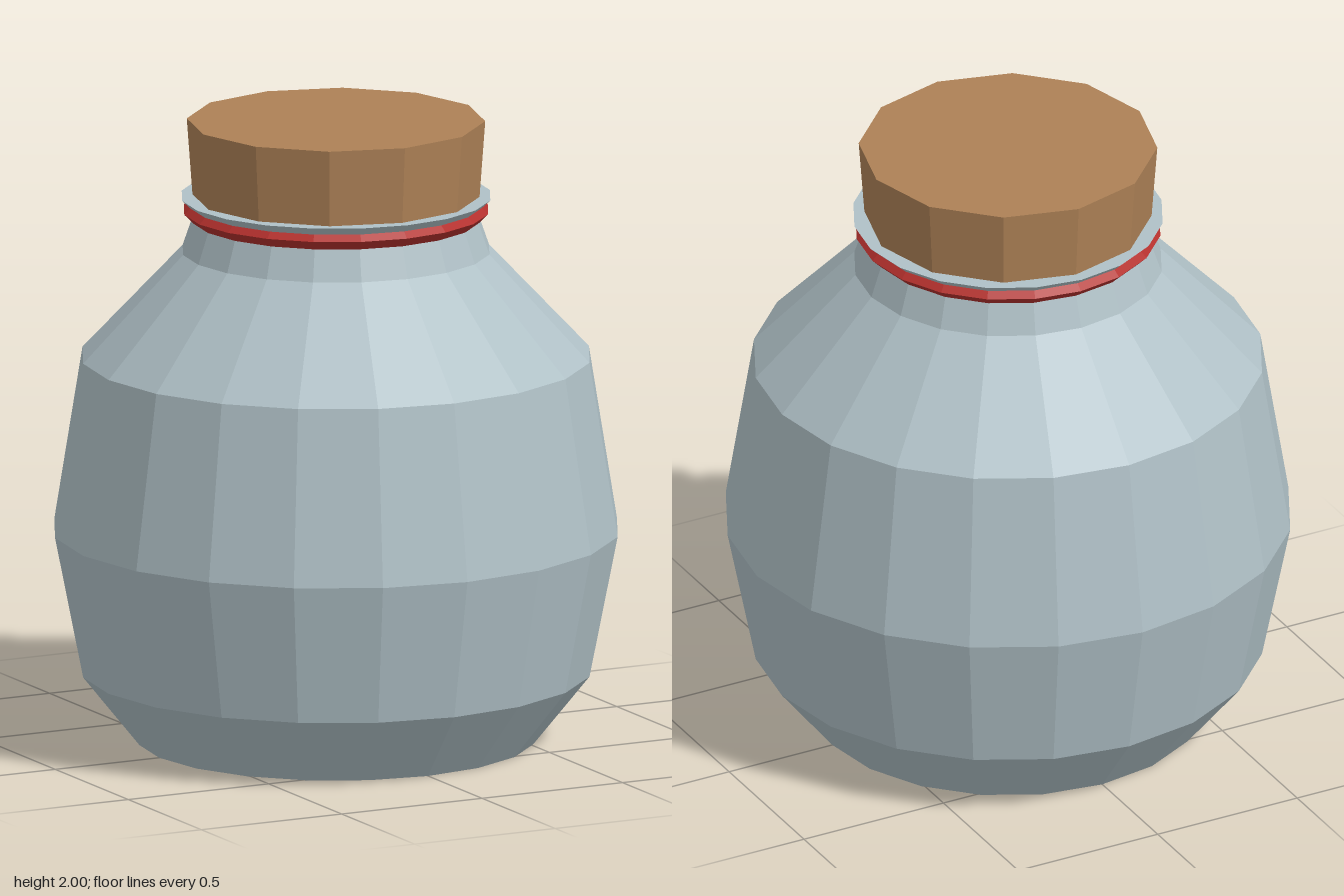
import * as THREE from 'three';

function material(name, color) {
  const m = new THREE.MeshStandardMaterial({ color, flatShading: true });
  m.name = name;
  return m;
}

export function createModel() {
  const glass = material('grey blue jar', 0xb0c1c7);
  const wood = material('cork brown', 0xad8156);
  const red = material('red cord', 0xb4302d);

  const group = new THREE.Group();
  group.name = 'corkedJar';
  const add = (name, geometry, mat, y = 0) => {
    const mesh = new THREE.Mesh(geometry, mat);
    mesh.name = name;
    mesh.position.y = y;
    group.add(mesh);
    return mesh;
  };

  // Jar: base, belly, shoulder, neck and flared rim as one faceted profile
  const profile = [
    [0, 0], [0.63, 0], [0.81, 0.225], [0.9, 0.68], [0.81, 1.24],
    [0.49, 1.58], [0.445, 1.71], [0.493, 1.755], [0, 1.755],
  ].map(([r, y]) => new THREE.Vector2(r, y));
  add('jar', new THREE.LatheGeometry(profile, 20), glass);

  // Cord tied around the neck, with a diamond section
  const cord = new THREE.TorusGeometry(0.455, 0.031, 4, 20).rotateX(Math.PI / 2);
  add('neckCord', cord, red, 1.71);

  // Tapered stopper, pushed a little way into the neck
  add('cork', new THREE.CylinderGeometry(0.472, 0.45, 0.3, 12), wood, 1.85);

  return group;
}
